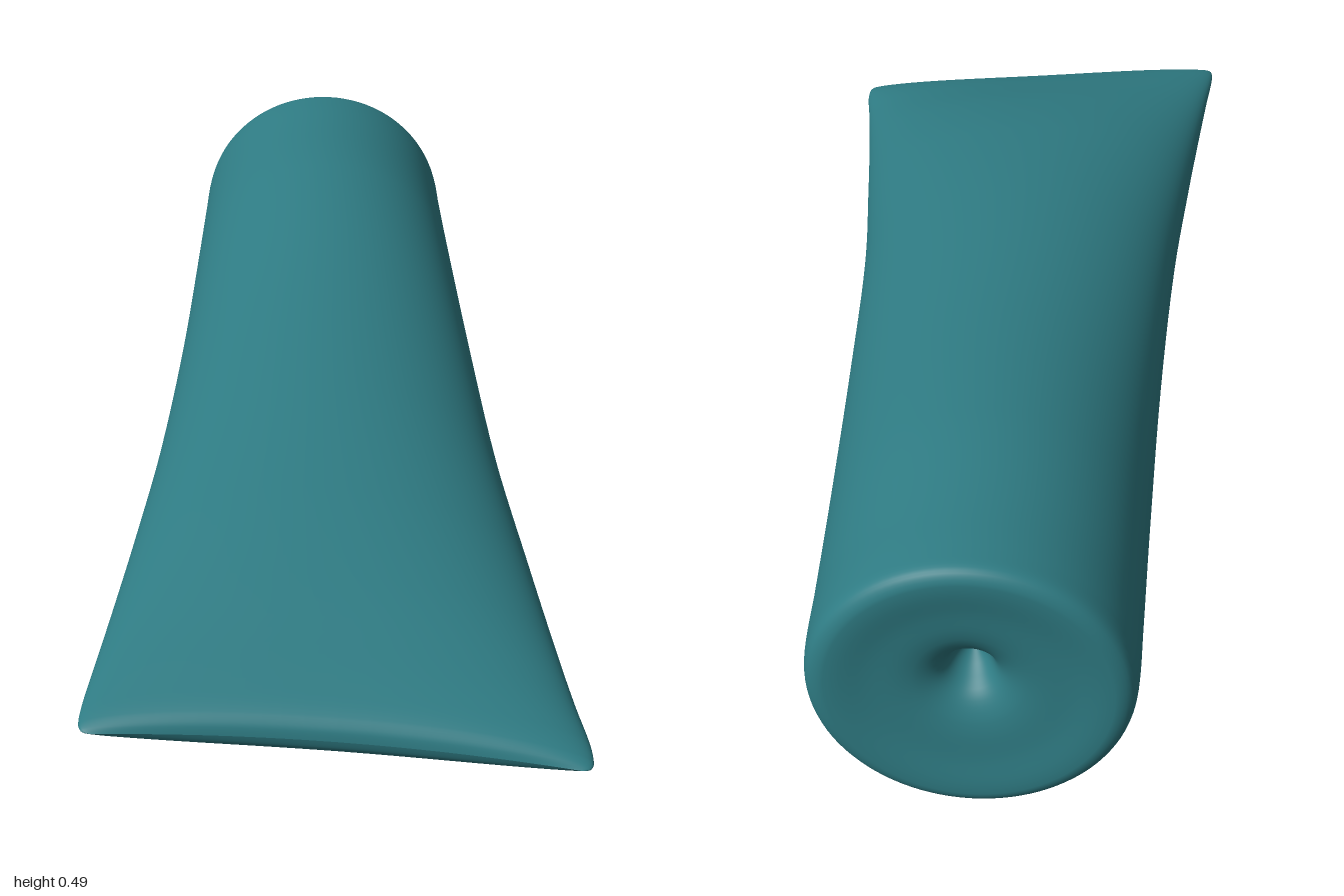
import * as THREE from 'three';

// Cross-sections from the crimped end cap to the flattened front edge:
// [z, centre x, centre y, half width, half height, tilt (dy/dx), roundness]
const sections = [
  [-0.90, -0.02, 0.275, 0.003, 0.003, 0, 1],   // bottom of the dimple
  [-0.925, -0.02, 0.272, 0.025, 0.025, 0, 1],
  [-0.965, -0.02, 0.268, 0.05, 0.05, 0, 1],
  [-0.985, -0.02, 0.264, 0.09, 0.09, 0, 1],
  [-0.993, -0.02, 0.258, 0.16, 0.155, 0, 1],
  [-1.0, -0.02, 0.255, 0.225, 0.22, 0, 1],     // rim
  [-0.988, -0.02, 0.255, 0.251, 0.242, 0, 1],
  [-0.955, -0.02, 0.255, 0.26, 0.246, 0, 1],
  [-0.85, -0.02, 0.256, 0.263, 0.245, 0, 1],
  [-0.6, -0.018, 0.259, 0.27, 0.24, 0, 1],
  [-0.2, -0.013, 0.253, 0.286, 0.212, -0.02, 1],
  [0.2, -0.01, 0.246, 0.309, 0.184, -0.05, 1],
  [0.5, -0.006, 0.239, 0.339, 0.15, -0.075, 0.95],
  [0.7, -0.004, 0.236, 0.361, 0.111, -0.09, 0.88],
  [0.85, -0.002, 0.234, 0.379, 0.073, -0.1, 0.8],
  [0.94, 0, 0.232, 0.391, 0.048, -0.1, 0.75],
  [0.98, 0, 0.231, 0.392, 0.033, -0.1, 0.75],
  [0.995, 0, 0.231, 0.386, 0.018, -0.1, 0.75],
  [1.0, 0, 0.231, 0.372, 0, -0.1, 0.75],
];

// Smooth interpolation through the sections
function sectionAt(i, t) {
  const at = k => sections[THREE.MathUtils.clamp(k, 0, sections.length - 1)];
  const [a, b, c, d] = [at(i - 1), at(i), at(i + 1), at(i + 2)];
  // limit the tangents where neighbouring spans differ a lot in length
  const span = (p, q) => Math.hypot(q[0] - p[0], q[3] - p[3]) || 1;
  const s0 = span(a, b), s1 = span(b, c), s2 = span(c, d);
  const h1 = t * t * t - 2 * t * t + t, h2 = t * t * t - t * t, h3 = 3 * t * t - 2 * t * t * t;
  return b.map((v, k) => {
    const m1 = s1 * (c[k] - a[k]) / (s0 + s1), m2 = s1 * (d[k] - b[k]) / (s1 + s2);
    return v * (1 - h3) + c[k] * h3 + m1 * h1 + m2 * h2;
  });
}

function tubeGeometry(sides = 96, steps = 5) {
  const pos = [], index = [];
  const rows = [];
  for (let i = 0; i < sections.length - 1; i++)
    for (let s = 0; s < steps; s++) rows.push(sectionAt(i, s / steps));
  rows.push(sections[sections.length - 1]);

  const power = (v, e) => Math.sign(v) * Math.pow(Math.abs(v), e);
  rows.forEach(([z, cx, cy, w, h, tilt, e], r) => {
    // the front edge bows slightly inwards in the middle
    const bow = 0.025 * THREE.MathUtils.smoothstep(z, 0.6, 1);
    for (let j = 0; j < sides; j++) {
      const a = j / sides * Math.PI * 2;
      const x = w * power(Math.cos(a), e), u = x / w;
      pos.push(cx + x, cy + Math.max(h, 0) * Math.sin(a) + tilt * x, z - bow * (1 - u * u));
      if (r < rows.length - 1) {
        const p = r * sides + j, q = r * sides + (j + 1) % sides;
        index.push(p, q, q + sides, p, q + sides, p + sides);
      }
    }
  });
  const geo = new THREE.BufferGeometry();
  geo.setAttribute('position', new THREE.Float32BufferAttribute(pos, 3));
  geo.setIndex(index);
  geo.computeVertexNormals();
  return geo;
}

export function createModel() {
  const group = new THREE.Group();
  group.name = 'squeezeTube';
  const body = new THREE.Mesh(tubeGeometry(), new THREE.MeshStandardMaterial({ color: 0x2f7c84 }));
  body.name = 'tubeBody';
  group.add(body);
  return group;
}
